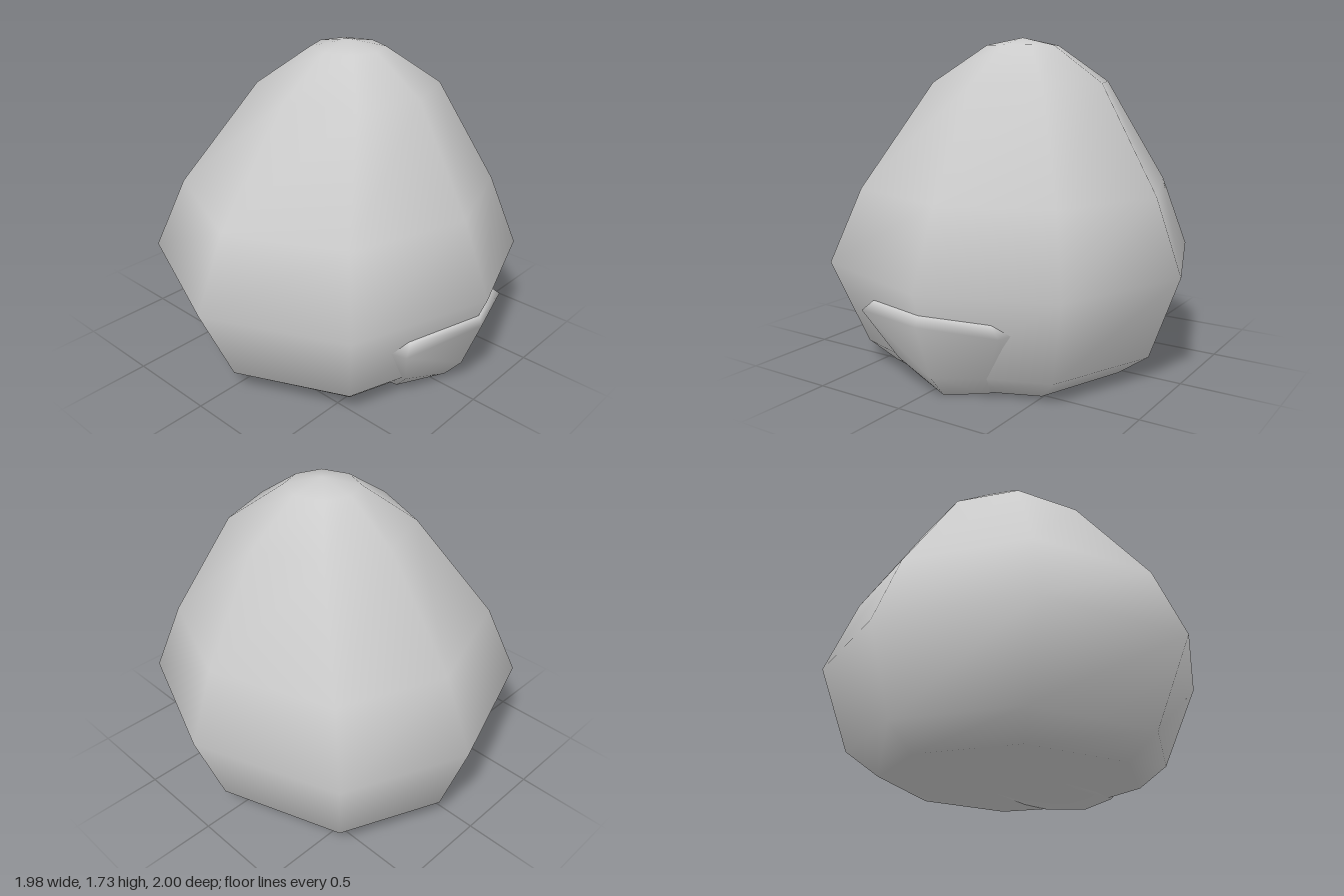
import * as THREE from 'three';

const CX = 0.04, CZ = -0.08; // axis through the apex

function meshFrom(name, pos, idx, side = THREE.FrontSide) {
  const g = new THREE.BufferGeometry();
  g.setAttribute('position', new THREE.Float32BufferAttribute(pos, 3));
  g.setIndex(idx);
  g.computeVertexNormals();
  const mesh = new THREE.Mesh(g, new THREE.MeshStandardMaterial({ color: 0xcccccc, side }));
  mesh.name = name;
  return mesh;
}

// Eight-sided boulder lofted through uneven rings, closed by two poles
function makeBody() {
  // y, xMin, xMax, zMin, zMax
  const rings = [
    [0, -0.68, 0.68, -0.67, 0.64],
    [0.12, -0.84, 0.81, -0.84, 0.8],
    [0.56, -0.99, 0.985, -1, 1],
    [0.95, -0.82, 0.82, -0.86, 0.83],
    [1.5, -0.43, 0.51, -0.55, 0.39],
    [1.69, -0.16, 0.23, -0.27, 0.11],
  ];
  const N = 8, pos = [], idx = [];
  for (const [y, x0, x1, z0, z1] of rings) {
    for (let i = 0; i < N; i++) {
      const a = (i / N) * Math.PI * 2;
      const c = Math.cos(a), s = Math.sin(a), diag = i % 2 === 1;
      const kx = diag ? 1.05 : 1, kz = diag ? 0.99 : 1; // corners sit a little wide
      pos.push(CX + kx * c * (c > 0 ? x1 - CX : CX - x0), y,
        CZ + kz * s * (s > 0 ? z1 - CZ : CZ - z0));
    }
  }
  const bottom = rings.length * N, top = bottom + 1;
  pos.push(CX, 0, CZ, CX, 1.73, CZ);
  for (let r = 0; r < rings.length - 1; r++) {
    for (let i = 0; i < N; i++) {
      const j = (i + 1) % N, a = r * N + i, b = r * N + j;
      idx.push(a, a + N, b, b, a + N, b + N);
    }
  }
  const last = (rings.length - 1) * N;
  for (let i = 0; i < N; i++) {
    const j = (i + 1) % N;
    idx.push(bottom, i, j, top, last + j, last + i);
  }
  return meshFrom('boulderBody', pos, idx);
}

// Shallow bulge low on the left side, its rim sunk into the body
function makeBulge() {
  // y, x at the crest, half width in z
  const rows = [
    [0.48, 0.86, 0.3],
    [0.45, 0.945, 0.4],
    [0.4, 0.965, 0.46],
    [0.12, 0.86, 0.3],
    [0, 0.76, 0.24],
    [0, 0.4, 0.2],
  ];
  const cols = [[-1, 0.32], [-0.9, 0.13], [0, 0], [0.9, 0.13], [1, 0.32]]; // t, inset
  const pos = [], idx = [], C = cols.length;
  for (const [y, x, w] of rows) {
    for (const [t, inset] of cols) pos.push(x - inset, y - Math.abs(t) * (y > 0.3 ? 0.03 : 0), CZ + 0.04 * (t !== 0) + t * w);
  }
  for (let r = 0; r < rows.length - 1; r++) {
    for (let c = 0; c < C - 1; c++) {
      const a = r * C + c, b = a + 1;
      idx.push(a, b, a + C, b, b + C, a + C);
    }
  }
  // The winding above faces inward, so reverse each triangle
  for (let i = 0; i < idx.length; i += 3) [idx[i + 1], idx[i + 2]] = [idx[i + 2], idx[i + 1]];
  return meshFrom('sideBulge', pos, idx, THREE.DoubleSide);
}

export function createModel() {
  const model = new THREE.Group();
  model.name = 'boulder';
  model.add(makeBody(), makeBulge());
  return model;
}
